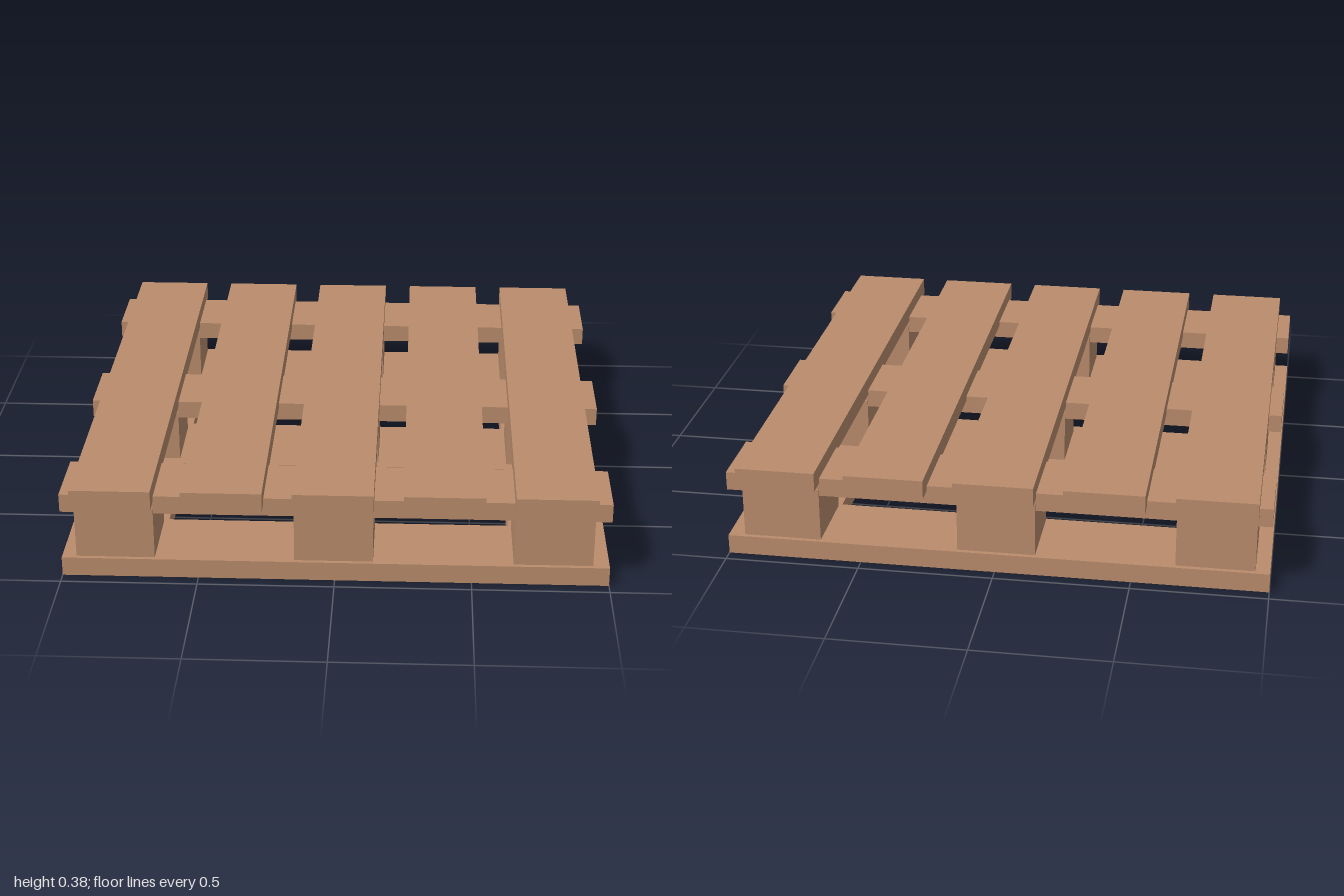
import * as THREE from 'three';

export function createModel() {
  const pallet = new THREE.Group();
  pallet.name = 'pallet';
  const wood = new THREE.MeshStandardMaterial({ color: 0xba8c6c });
  wood.name = 'wood';

  // Box given by its centre in x and z, and its bottom and top heights
  const addBox = (name, x, z, width, depth, bottom, top) => {
    const mesh = new THREE.Mesh(new THREE.BoxGeometry(width, top - bottom, depth), wood);
    mesh.position.set(x, (bottom + top) / 2, z);
    mesh.name = name;
    pallet.add(mesh);
  };

  const rectangle = (Type, x0, y0, x1, y1) => new Type([
    new THREE.Vector2(x0, y0), new THREE.Vector2(x1, y0),
    new THREE.Vector2(x1, y1), new THREE.Vector2(x0, y1),
  ]);

  // Bottom frame with two long openings
  const outline = rectangle(THREE.Shape, -1, -0.953, 1, 0.953);
  outline.holes.push(
    rectangle(THREE.Path, -0.64, 0.182, 0.64, 0.648),
    rectangle(THREE.Path, -0.64, -0.648, 0.64, -0.182),
  );
  const frameGeometry = new THREE.ExtrudeGeometry(outline, { depth: 0.073, bevelEnabled: false });
  frameGeometry.rotateX(-Math.PI / 2);
  const frame = new THREE.Mesh(frameGeometry, wood);
  frame.name = 'bottomFrame';
  pallet.add(frame);

  // Three cross beams, each resting on three blocks
  for (const z of [-0.798, 0.001, 0.8]) {
    addBox('crossBeam', 0, z, 2, 0.264, 0.252, 0.322);
    for (const x of [-0.803, -0.004, 0.796]) {
      addBox('block', x, z, 0.288, 0.276, 0.073, 0.278);
    }
  }

  // Five deck boards running front to back
  for (let i = -2; i <= 2; i++) {
    addBox('deckBoard', i * 0.4 - 0.004, 0, 0.293, 2, 0.304, 0.375);
  }
  return pallet;
}
